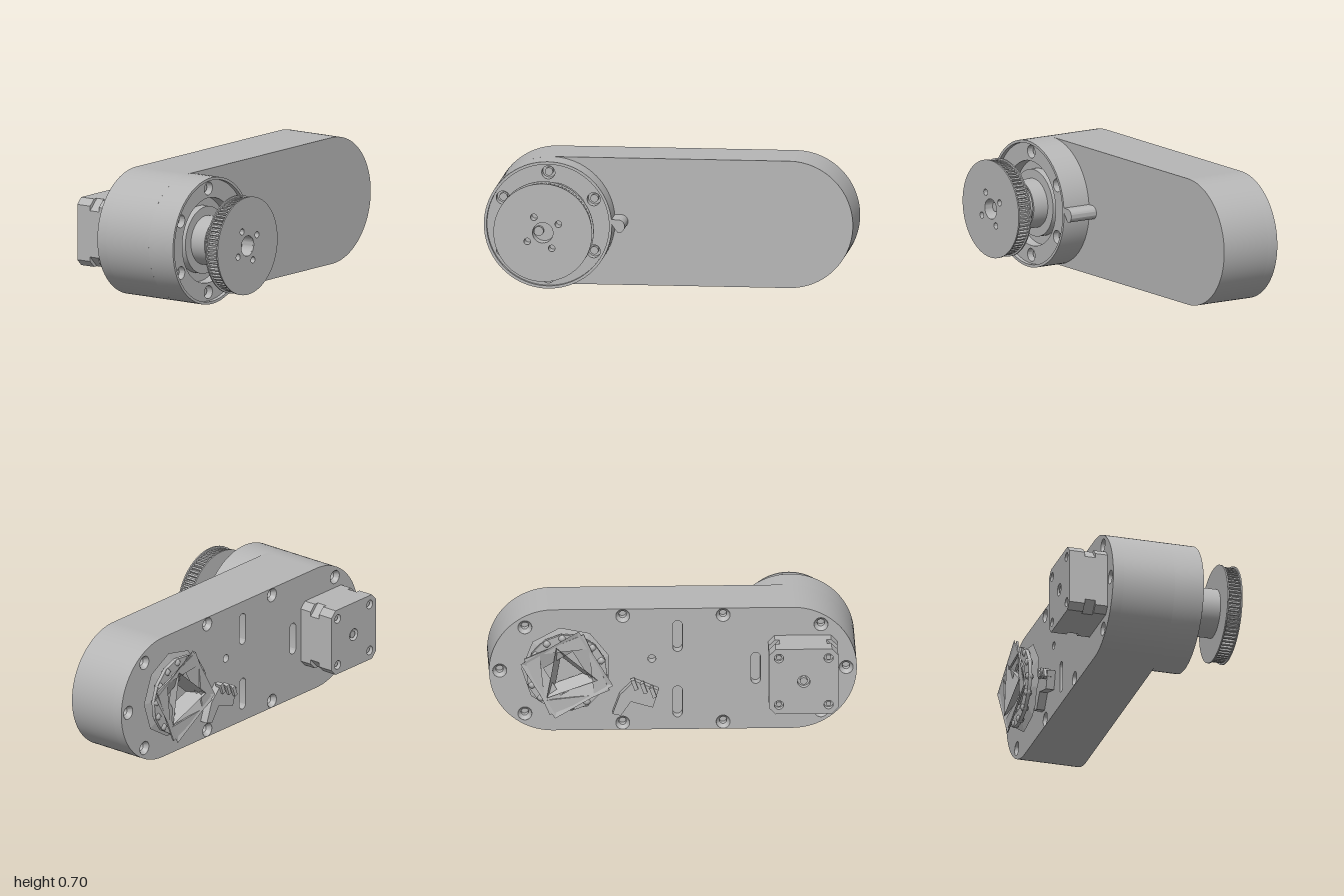
import * as THREE from 'three';
import { toCreasedNormals } from 'three/addons/utils/BufferGeometryUtils.js';

const grey = new THREE.MeshStandardMaterial({ color: 0xb6b6b6 });
grey.name = 'plain grey';
const greyThin = grey;
greyThin.side = THREE.DoubleSide;

const CY = 0.352;   // height of the long axis
const HX = -0.65;   // hub axis
const TAU = Math.PI * 2;

export function createModel() {
  const root = new THREE.Group();
  root.name = 'gearDriveArm';

  const add = (name, geo, x = 0, y = 0, parent = root) => {
    const m = new THREE.Mesh(geo, grey);
    m.name = name;
    m.position.set(x, y, 0);
    parent.add(m);
    return m;
  };
  const extrude = (shape, z0, z1, seg = 24) => {
    const g = new THREE.ExtrudeGeometry(shape, { depth: z1 - z0, bevelEnabled: false, curveSegments: seg });
    g.translate(0, 0, z0);
    return toCreasedNormals(g, 0.5);
  };
  // profile of [radius, z] pairs turned about the z axis
  const lathe = (pts, seg = 64) => {
    const g = new THREE.LatheGeometry(pts.map(p => new THREE.Vector2(p[0], p[1])), seg);
    g.rotateX(Math.PI / 2);
    return toCreasedNormals(g, 0.5);
  };
  const disc = (r, z0, z1, seg = 64) => lathe([[0, z0], [r, z0], [r, z1], [0, z1]], seg);
  const circle = (x, y, r, Kind = THREE.Path) => {
    const p = new Kind();
    p.absarc(x, y, r, 0, TAU, Kind === THREE.Path);
    return p;
  };
  const ringOf = (n, r, start = 0) => Array.from({ length: n }, (_, i) => {
    const a = start + i / n * TAU;
    return [r * Math.cos(a), r * Math.sin(a)];
  });
  const polygon = pts => new THREE.Shape(pts.map(p => new THREE.Vector2(p[0], p[1])));
  const stadium = () => {
    const s = new THREE.Shape();
    s.absarc(0.65, 0, 0.35, -Math.PI / 2, Math.PI / 2, false);
    s.absarc(-0.65, 0, 0.35, Math.PI / 2, Math.PI * 1.5, false);
    s.closePath();
    return s;
  };
  const slot = (x, y, half, r) => {
    const p = new THREE.Path();
    p.absarc(x, y + half - r, r, 0, Math.PI, false);
    p.absarc(x, y - half + r, r, Math.PI, TAU, false);
    p.closePath();
    return p;
  };

  // Housing: solid core and a back cover with countersunk holes and slots
  add('housing', extrude(stadium(), -0.21, 0.08, 40), 0, CY);
  const cover = stadium();
  const screws = [];
  for (const s of [-1, 1]) {
    screws.push([s * 0.942, 0]);
    for (const t of [-1, 1]) screws.push([s * 0.805, t * 0.25], [s * 0.273, t * 0.31]);
  }
  for (const [x, y] of screws) {
    cover.holes.push(circle(x, y, 0.038));
    add('countersink', lathe([[0.038, -0.27], [0.02, -0.245], [0.02, -0.21]], 20), x, CY + y);
  }
  cover.holes.push(slot(-0.025, 0.19, 0.09, 0.026), slot(-0.025, -0.19, 0.09, 0.026),
    slot(-0.45, 0, 0.09, 0.026), circle(0.115, 0.06, 0.022));
  add('backCover', extrude(cover, -0.27, -0.21, 40), 0, CY);

  // Round hub boss with a recessed, bolted ring
  const hub = new THREE.Group();
  hub.name = 'hub';
  hub.position.set(HX, CY, 0);
  root.add(hub);
  add('hubBoss', lathe([[0.35, 0.08], [0.35, 0.245], [0.335, 0.245], [0.335, 0.16], [0, 0.16]], 80), 0, 0, hub);
  const ring = circle(0, 0, 0.335, THREE.Shape);
  ring.holes.push(circle(0, 0, 0.235));
  for (const [x, y] of ringOf(6, 0.287, Math.PI / 2)) {
    ring.holes.push(circle(x, y, 0.036));
    add('hubScrew', disc(0.022, 0.16, 0.195, 16), x, y, hub);
  }
  add('hubRing', extrude(ring, 0.16, 0.222, 40), 0, 0, hub);
  add('hubCollar', disc(0.185, 0.16, 0.205), 0, 0, hub);

  // Rounded stop lug beside the hub
  const lug = new THREE.Shape();
  lug.moveTo(0.33, -0.037);
  lug.absarc(0.383, 0, 0.037, -Math.PI / 2, Math.PI / 2, false);
  lug.lineTo(0.33, 0.037);
  add('stopLug', extrude(lug, 0.08, 0.245), 0, 0, hub);

  // Split shaft
  add('shaftInner', disc(0.135, 0.16, 0.297), 0, 0, hub);
  add('shaftOuter', disc(0.135, 0.304, 0.41), 0, 0, hub);

  // Toothed belt pulley between two thin flanges
  const drill = shape => {
    shape.holes.push(circle(0, 0, 0.056));
    for (const [x, y] of ringOf(4, 0.098, Math.PI / 6)) shape.holes.push(circle(x, y, 0.018));
    return shape;
  };
  const teeth = [];
  const N = 72;
  for (let i = 0; i < N; i++) {
    for (const [f, r] of [[0, 0.247], [0.35, 0.247], [0.45, 0.261], [0.9, 0.261]]) {
      const a = (i + f) / N * TAU;
      teeth.push([r * Math.cos(a), r * Math.sin(a)]);
    }
  }
  add('pulleyTeeth', extrude(drill(polygon(teeth)), 0.412, 0.482), 0, 0, hub);
  add('pulleyBackFlange', extrude(drill(circle(0, 0, 0.27, THREE.Shape)), 0.405, 0.413, 40), 0, 0, hub);
  add('pulleyFrontFlange', extrude(drill(circle(0, 0, 0.27, THREE.Shape)), 0.481, 0.489, 40), 0, 0, hub);
  add('shaftTip', disc(0.026, 0.40, 0.44, 24), -0.028, 0, hub);

  // Stepper motor: chamfered square blocks, narrower in the middle
  const motor = new THREE.Group();
  motor.name = 'motor';
  motor.position.set(-0.705, CY, 0);
  root.add(motor);
  const block = (c, h = 0.188) => polygon([[h, c - h], [h, h - c], [h - c, h], [c - h, h],
    [-h, h - c], [-h, c - h], [c - h, -h], [h - c, -h]]);
  add('motorFlange', extrude(block(0.035), -0.34, -0.27), 0, 0, motor);
  add('motorStack', extrude(block(0.06), -0.40, -0.34), 0, 0, motor);
  add('motorCap', extrude(block(0.035), -0.455, -0.40), 0, 0, motor);
  const end = block(0.035);
  end.holes.push(circle(0, 0, 0.034));
  for (const [x, y] of ringOf(4, 0.191, Math.PI / 4)) {
    end.holes.push(circle(x, y, 0.025));
    add('motorScrew', disc(0.014, -0.475, -0.455, 12), x, y, motor);
  }
  add('motorEndPlate', extrude(end, -0.488, -0.455), 0, 0, motor);
  add('motorShaftEnd', disc(0.02, -0.48, -0.455, 20), 0, 0, motor);

  // Faceted bearing: ribbed ring between bent, angular plates
  const bearing = new THREE.Group();
  bearing.name = 'bearing';
  bearing.position.set(0.58, 0.36, 0);
  root.add(bearing);
  const frame = (n, rOut, rIn, turn, z0, z1) => {
    const s = polygon(ringOf(n, rOut, turn));
    s.holes.push(new THREE.Path(ringOf(n, rIn, turn + 0.3).map(p => new THREE.Vector2(p[0], p[1]))));
    return extrude(s, z0, z1);
  };
  add('ballCage', frame(14, 0.222, 0.15, 0.1, -0.337, -0.317), 0, 0, bearing);
  for (const [x, y] of ringOf(14, 0.2, 0.1)) {
    const ball = add('bearingBall', new THREE.OctahedronGeometry(0.025, 1), x, y, bearing);
    ball.position.z = -0.327;
  }
  // cone-like open plates whose rims flare away from the ring
  const flare = (n, r0, z0, r1, z1, turn) => {
    const g = new THREE.CylinderGeometry(r1, r0, z1 - z0, n, 1, true).toNonIndexed();
    g.computeVertexNormals();
    g.rotateX(Math.PI / 2).rotateZ(turn).translate(0, 0, (z0 + z1) / 2);
    return g;
  };
  add('innerPlate', flare(9, 0.13, -0.308, 0.245, -0.283, 0.2), 0, 0, bearing);
  add('outerPlate', flare(4, 0.26, -0.372, 0.13, -0.345, 0.25), 0, 0, bearing);
  add('outerRace', frame(4, 0.25, 0.19, 1.95, -0.368, -0.358), 0, 0, bearing);
  add('innerRace', flare(3, 0.17, -0.378, 0.09, -0.3, 0.7), 0, 0, bearing);

  // Small angled sensor bracket with three pins
  const bracket = polygon([[0.33, 0.11], [0.285, 0.10], [0.23, 0.18], [0.11, 0.145],
    [0.08, 0.245], [0.21, 0.30], [0.29, 0.22]].reverse());
  add('sensorBracket', extrude(bracket, -0.315, -0.27));
  for (const [x, y] of [[0.11, 0.235], [0.16, 0.26], [0.21, 0.28]]) {
    const pin = add('sensorPin', new THREE.BoxGeometry(0.022, 0.06, 0.04), x, y);
    pin.position.z = -0.31;
    pin.rotation.z = -0.35;
  }
  return root;
}
